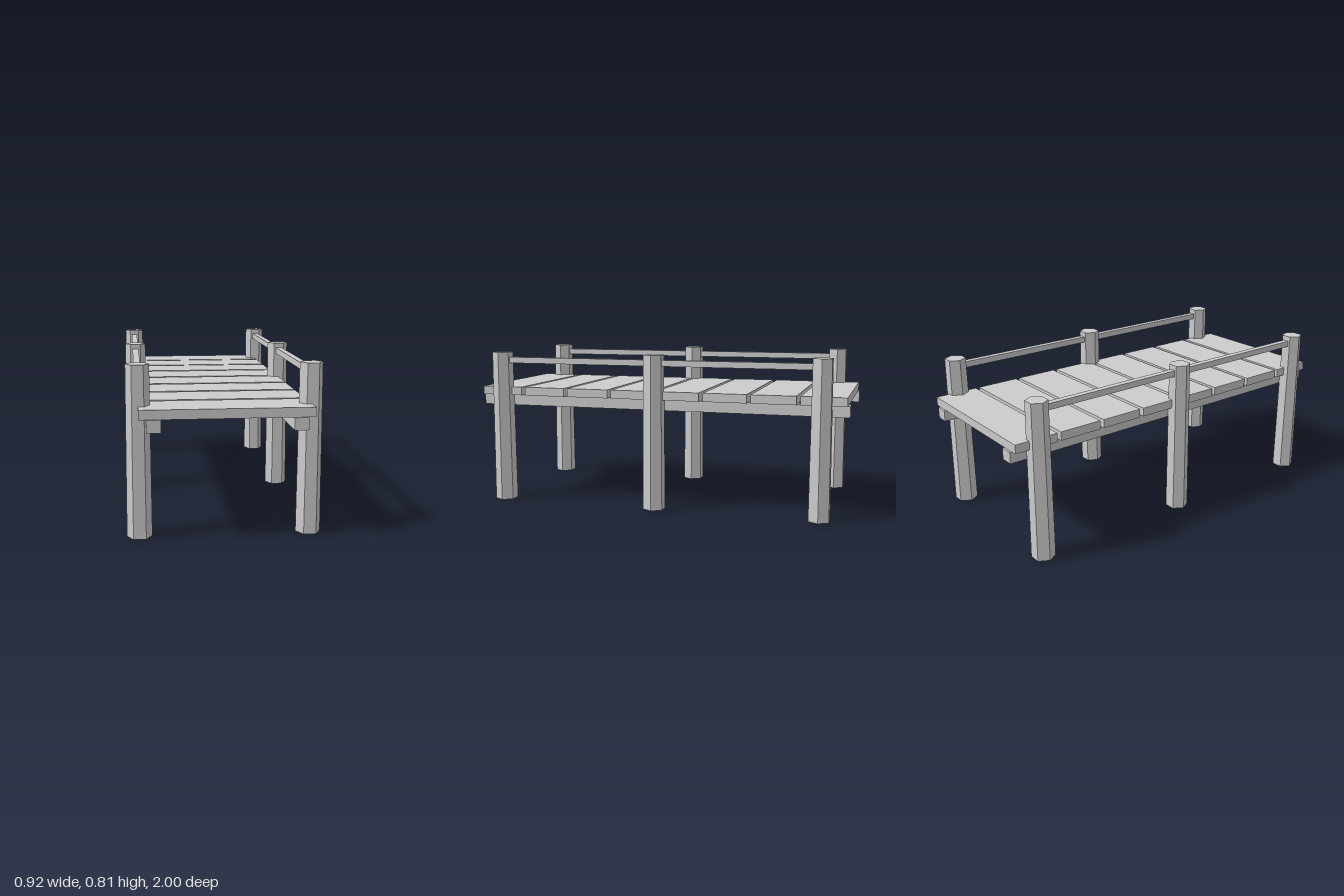
import * as THREE from 'three';

export function createModel() {
  const dock = new THREE.Group();
  dock.name = 'dock';

  const wood = new THREE.MeshStandardMaterial({ color: 0xcccccc });
  wood.name = 'greyWood';

  const add = (name, geometry, x, y, z) => {
    const mesh = new THREE.Mesh(geometry, wood);
    mesh.name = name;
    mesh.position.set(x, y, z);
    dock.add(mesh);
    return mesh;
  };

  // Deck planks with narrow gaps
  const plankCount = 8, pitch = 0.25;
  const plank = new THREE.BoxGeometry(0.8, 0.045, 0.229);
  for (let i = 0; i < plankCount; i++) {
    add(`plank${i + 1}`, plank, 0, 0.6005, (i - (plankCount - 1) / 2) * pitch);
  }

  // Tapered six-sided posts, corners pointing sideways, with hard edges
  const postHeight = 0.813, postSpacing = 0.866;
  const post = new THREE.CylinderGeometry(0.0545, 0.0595, postHeight, 6)
    .rotateY(Math.PI / 6)
    .toNonIndexed();
  post.computeVertexNormals();

  const beam = new THREE.BoxGeometry(0.067, 0.058, 2);
  const rail = new THREE.BoxGeometry(0.032, 0.032, postSpacing);

  for (const [side, s] of [['left', 1], ['right', -1]]) {
    // Long beam under the planks
    add(`${side}Beam`, beam, s * 0.333, 0.549, 0);

    // Three posts
    for (const [place, k] of [['Front', 1], ['Middle', 0], ['Back', -1]]) {
      add(`${side}${place}Post`, post, s * 0.4, postHeight / 2, k * postSpacing);
    }

    // Handrails between the posts
    for (const [place, k] of [['Front', 0.5], ['Back', -0.5]]) {
      add(`${side}${place}Rail`, rail, s * 0.4, 0.771, k * postSpacing);
    }
  }

  return dock;
}
